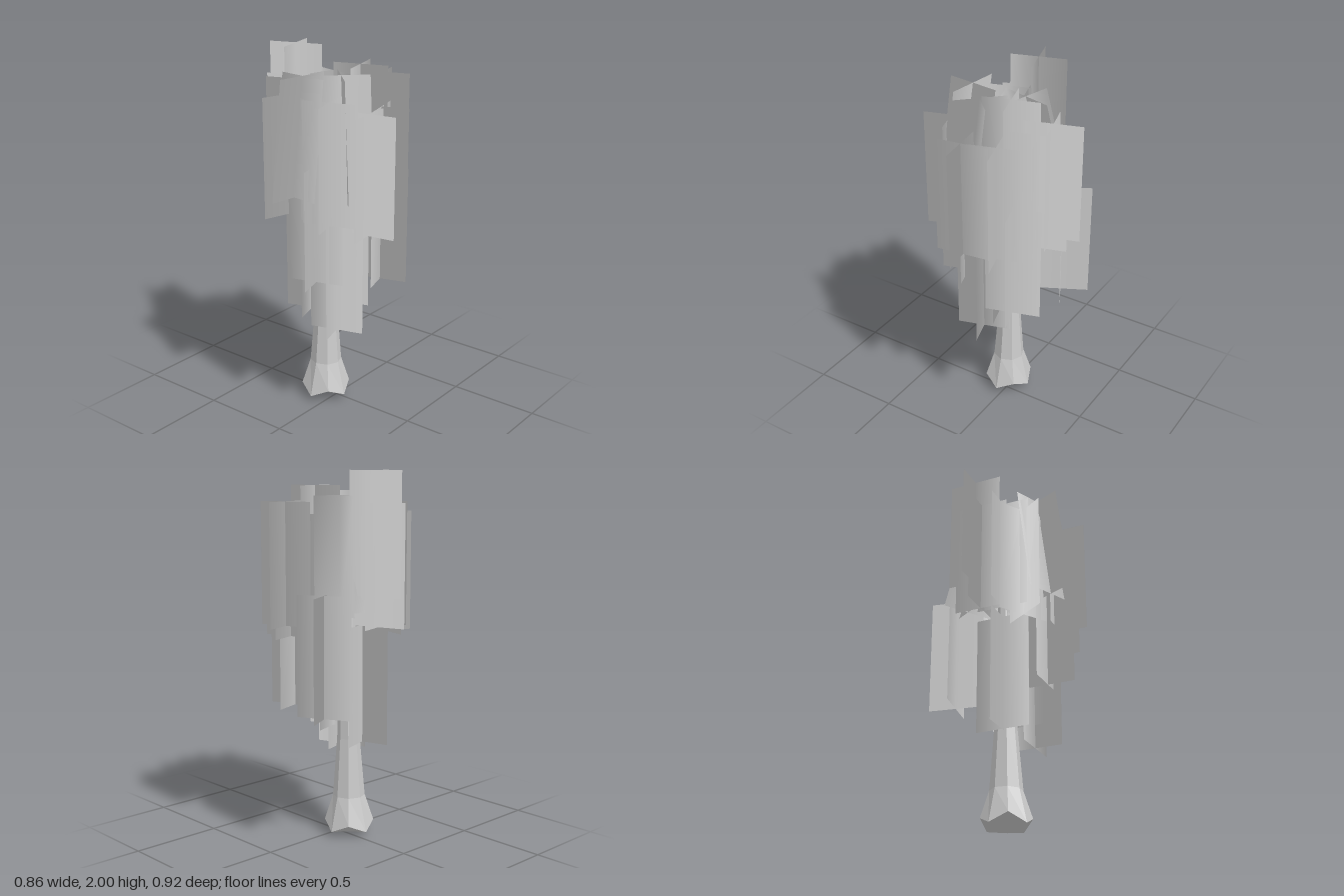
import * as THREE from 'three';

const W = 0.302; // leaf card width
const H = 0.65; // leaf card height
const AXIS = new THREE.Vector3(-0.05, 1.1, 0.02); // crown centre

export function createModel() {
  const tree = new THREE.Group();
  tree.name = 'tree';
  const bark = new THREE.MeshStandardMaterial({ color: 0xcccccc, flatShading: true });
  const leaf = new THREE.MeshStandardMaterial({ color: 0xcccccc, side: THREE.DoubleSide });

  // Trunk: flared eight-sided taper, leaning slightly back
  const profile = [
    [0.001, 0], [0.135, 0.03], [0.088, 0.22], [0.062, 0.55],
    [0.05, 1.0], [0.032, 1.4], [0.001, 1.72],
  ].map(([r, y]) => new THREE.Vector2(r, y));
  const trunkGeometry = new THREE.LatheGeometry(profile, 8);
  const tp = trunkGeometry.attributes.position;
  for (let i = 0; i < tp.count; i++) {
    const ring = i % profile.length;
    const side = Math.floor(i / profile.length);
    // Every other foot corner is raised, giving a zigzag rim
    if (ring === 1 && side % 2 === 1) tp.setY(i, 0.075);
    tp.setZ(i, tp.getZ(i) - 0.012 * tp.getY(i));
  }
  const trunk = new THREE.Mesh(trunkGeometry, bark);
  trunk.name = 'trunk';
  trunk.position.set(-0.06, 0, 0.024);
  tree.add(trunk);

  // One card, sheared from its top centre to its bottom centre, facing outward
  function card(top, bottom, angle) {
    const g = new THREE.PlaneGeometry(W, 1, 2, 1);
    const p = g.attributes.position;
    const outward = (top[0] - AXIS.x) * Math.sin(angle) + (top[2] - AXIS.z) * Math.cos(angle);
    const flip = outward < 0 ? -1 : 1;
    const n = new THREE.Vector3();
    for (let i = 0; i < p.count; i++) {
      const along = p.getX(i) * flip;
      const c = p.getY(i) > 0 ? top : bottom;
      p.setXYZ(i, c[0] + along * Math.cos(angle), c[1], c[2] - along * Math.sin(angle));
      // Soft foliage normals spread from the crown's axis
      n.fromBufferAttribute(p, i).sub(AXIS).setY(0).normalize();
      g.attributes.normal.setXYZ(i, n.x, n.y, n.z);
    }
    return new THREE.Mesh(g, leaf);
  }

  // Two cards crossing at right angles
  function cross(name, top, bottom, degrees) {
    const group = new THREE.Group();
    group.name = name;
    for (const turn of [0, 90]) {
      const m = card(top, bottom, THREE.MathUtils.degToRad(degrees + turn));
      m.name = 'leafCard';
      group.add(m);
    }
    tree.add(group);
  }

  // Upright clusters: x, bottom y, z, turn in degrees
  const upper = [
    [-0.287, 1.35, -0.015, 17], [0.092, 1.27, -0.085, 17],
    [0.07, 1.19, -0.315, 17], [-0.275, 1.185, 0.026, 17], [-0.2, 1.19, 0.12, 17],
    [-0.15, 1.13, 0.22, -15], [0.145, 1.13, 0.238, 17], [0.1, 1.125, -0.257, 17],
    [0.283, 1.065, 0.092, 8], [0.23, 1.065, -0.083, 17],
  ];
  const lower = [
    [0.08, 0.47, 0.1, 17], [-0.13, 0.53, 0.055, 17], [0.05, 0.6, 0.01, 17],
    [-0.16, 0.715, -0.257, 27], [0.185, 0.72, -0.155, 17], [0.04, 0.785, 0.225, 17],
  ];
  for (const [name, list] of [['upperLeaves', upper], ['lowerLeaves', lower]]) {
    for (const [x, y, z, turn] of list) cross(name, [x, y + H, z], [x, y, z], turn);
  }

  // Leaning clusters, spreading outward at the bottom
  cross('leaningLeaves', [-0.037, 1.89, 0.228], [-0.03, 1.27, 0.313], -7);
  cross('leaningLeaves', [0.105, 1.89, 0.095], [0.168, 1.26, 0.14], 45);
  cross('leaningLeaves', [-0.075, 1.87, -0.067], [-0.18, 1.26, -0.16], -14.5);

  return tree;
}
